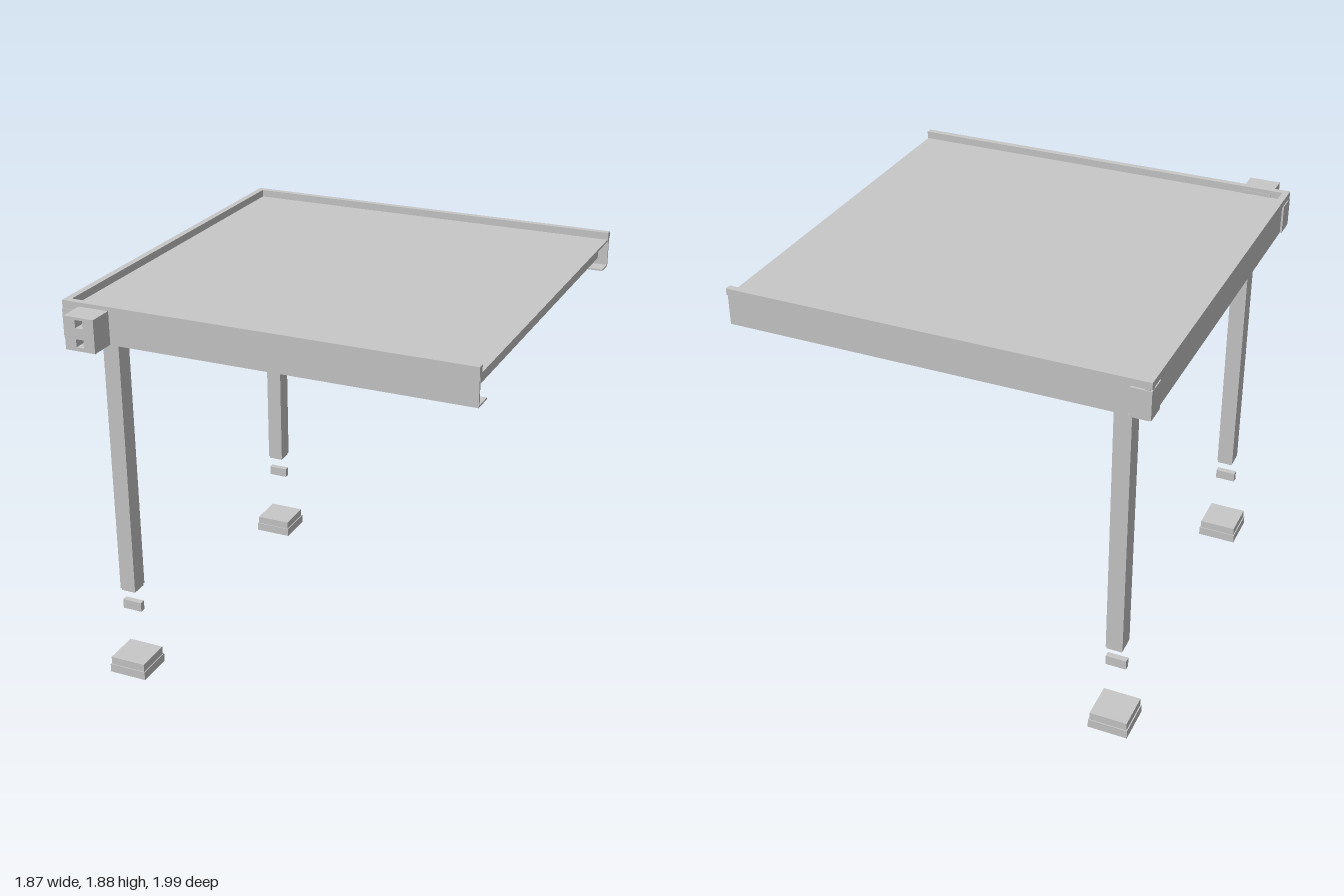
import * as THREE from 'three';

export function createModel() {
  const model = new THREE.Group();
  const grey = new THREE.MeshStandardMaterial({ color: 0xc8c8c8 });
  grey.name = 'grey metal';

  function add(name, geometry, parent = model) {
    const mesh = new THREE.Mesh(geometry, grey);
    mesh.name = name;
    parent.add(mesh);
    return mesh;
  }

  // Box given by its limits on each axis
  function box(name, [x0, x1], [y0, y1], [z0, z1], parent = model) {
    const mesh = add(name, new THREE.BoxGeometry(x1 - x0, y1 - y0, z1 - z0), parent);
    mesh.position.set((x0 + x1) / 2, (y0 + y1) / 2, (z0 + z1) / 2);
    return mesh;
  }

  // Channel extruded along a side: u runs inwards from the outer face, v runs up.
  // The web is set back behind the lip by the given amount.
  function channel(name, length, x, z, turn, setback) {
    const section = new THREE.Shape([
      [setback, 1.71], [0.095, 1.71], [0.095, 1.718], [setback + 0.01, 1.718],
      [setback + 0.01, 1.836], [0.03, 1.836], [0.03, 1.88], [0, 1.88],
      [0, 1.85], [setback, 1.85],
    ].map(([u, v]) => new THREE.Vector2(u, v)));
    const geometry = new THREE.ExtrudeGeometry(section, { depth: length, bevelEnabled: false });
    geometry.translate(0, 0, -length / 2);
    const mesh = add(name, geometry);
    mesh.position.set(x, 0, z);
    mesh.rotation.y = turn;
  }

  const left = -0.932, right = 0.932, front = 0.87, back = -0.995;

  // Perimeter channels on three sides; the +x side stays open
  channel('frontBeam', right - left, 0, front, Math.PI / 2, 0.001);
  channel('backBeam', right - left, 0, back, -Math.PI / 2, 0.008);
  channel('sideBeam', front - back, left, (front + back) / 2, 0, 0.008);

  // Thin roof sheet on a middle joist and an edge joist
  box('roofSheet', [left + 0.02, right - 0.002], [1.836, 1.846], [back + 0.02, front - 0.02]);
  for (const x of [0, 0.885])
    box('joist', [x - 0.02, x + 0.02], [1.772, 1.836], [back + 0.095, front - 0.095]);

  // Corner connectors, shaped as two thin outer plates
  for (const [z, s] of [[front, -1], [back, 1]]) {
    const span = (a, b) => [z + s * a, z + s * b].sort((p, q) => p - q);
    box('cornerPlate', [left, left + 0.09], [1.714, 1.843], span(-0.003, 0.008));
    box('cornerPlate', [left - 0.001, left + 0.01], [1.714, 1.843], span(-0.003, 0.095));
  }

  // Outlet box on the front beam with two square openings
  const face = new THREE.Shape([
    [-0.85, 1.712], [-0.708, 1.712], [-0.708, 1.862], [-0.85, 1.862],
  ].map(([x, y]) => new THREE.Vector2(x, y)));
  for (const y of [1.747, 1.832]) {
    const hole = [[-1, -1], [-1, 1], [1, 1], [1, -1]];
    face.holes.push(new THREE.Path(
      hole.map(([a, b]) => new THREE.Vector2(-0.779 + a * 0.018, y + b * 0.018))));
  }
  add('outletBox', new THREE.ExtrudeGeometry(face, { depth: 0.15, bevelEnabled: false }))
    .position.z = 0.838;

  // Post assemblies: tie is the plan angle of the strip across the corner
  function post(name, z, tie) {
    const group = new THREE.Group();
    group.name = name;
    group.position.z = z;
    model.add(group);
    const x = -0.778;
    const part = (label, w, y, d) =>
      box(label, [x - w / 2, x + w / 2], y, [-d / 2, d / 2], group);
    part('baseSlab', 0.185, [0, 0.042], 0.185);
    part('baseTop', 0.175, [0.042, 0.08], 0.175);
    part('spacer', 0.095, [0.32, 0.366], 0.028);
    part('legFoot', 0.07, [0.433, 0.445], 0.078);
    part('leg', 0.077, [0.445, 1.692], 0.085);
    part('legCap', 0.1, [1.692, 1.712], 0.115);
    part('headBlock', 0.077, [1.712, 1.826], 0.085);
    part('headPlate', 0.2, [1.826, 1.836], 0.2);
    box('clip', [-0.85, -0.828], [1.668, 1.712], [0.043, 0.102], group);
    const strip = box('cornerTie', [x - 0.17, x + 0.17], [1.712, 1.718], [-0.02, 0.02], group);
    strip.rotation.y = tie;
  }
  post('frontPost', 0.716, -Math.PI / 4);
  post('backPost', -0.838, Math.PI / 4);

  return model;
}
